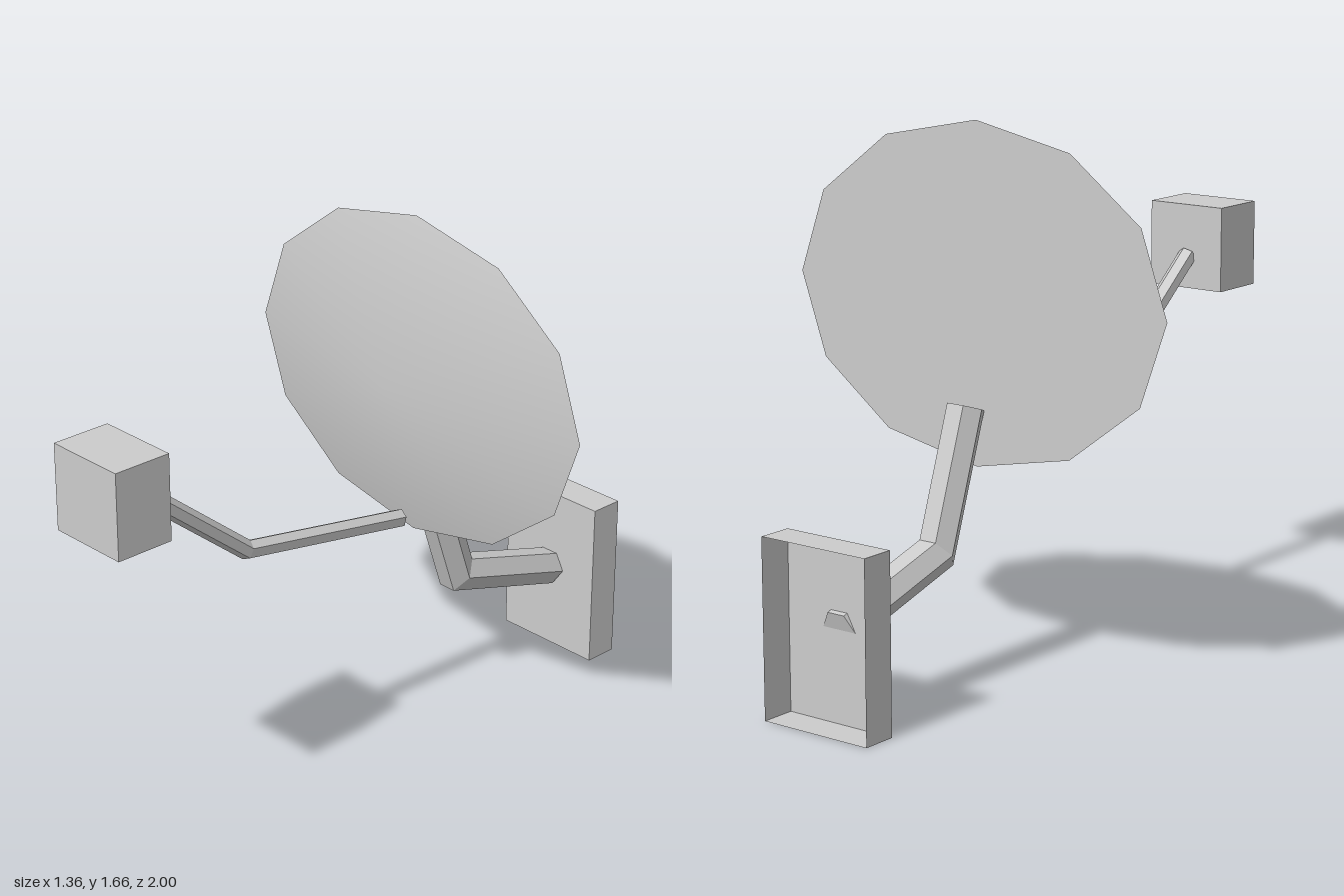
import * as THREE from 'three';

const grey = new THREE.MeshStandardMaterial({ color: 0xcccccc, side: THREE.DoubleSide });
grey.name = 'light grey';
const greyFlat = grey; // a single colour serves every part

// Closed prism swept along a bent path in the YZ plane, mitred at the bends.
// path: [z, y] points running towards +z
function bentBar(path, radius, sides, turn, x = 0) {
  const dirs = path.slice(1).map((p, i) =>
    new THREE.Vector2(p[0] - path[i][0], p[1] - path[i][1]).normalize());
  const rings = path.map(([z, y], i) => {
    const a = dirs[Math.max(i - 1, 0)], b = dirs[Math.min(i, dirs.length - 1)];
    const t = a.clone().add(b).normalize();
    const stretch = 1 / t.dot(a);
    return Array.from({ length: sides }, (_, j) => {
      const ang = turn + (j / sides) * Math.PI * 2;
      const u = Math.cos(ang) * radius, v = Math.sin(ang) * radius * stretch;
      return [x + u, y + v * t.x, z - v * t.y];
    });
  });
  const pos = [];
  const tri = (...pts) => pts.forEach((p) => pos.push(...p));
  const first = rings[0], last = rings[rings.length - 1];
  for (let j = 0; j < sides; j++) {
    const k = (j + 1) % sides;
    for (let i = 0; i < rings.length - 1; i++) {
      const [a, b, c, d] = [rings[i][j], rings[i][k], rings[i + 1][k], rings[i + 1][j]];
      tri(a, b, c);
      tri(a, c, d);
    }
    // end caps
    if (j > 0 && j < sides - 1) {
      tri(first[0], first[k], first[j]);
      tri(last[0], last[j], last[k]);
    }
  }
  const geo = new THREE.BufferGeometry();
  geo.setAttribute('position', new THREE.Float32BufferAttribute(pos, 3));
  geo.computeVertexNormals(); // unshared corners give flat faces
  return geo;
}

// Fan of triangles from a centre point to an elliptical rim, smooth shaded
function fan(rx, ry, sides, depth, facing) {
  const pos = [0, 0, depth], index = [];
  for (let j = 0; j < sides; j++) {
    const a = (j / sides) * Math.PI * 2;
    pos.push(rx * Math.cos(a), ry * Math.sin(a), 0);
    const p = 1 + j, q = 1 + ((j + 1) % sides);
    index.push(0, ...(facing > 0 ? [p, q] : [q, p]));
  }
  const geo = new THREE.BufferGeometry();
  geo.setAttribute('position', new THREE.Float32BufferAttribute(pos, 3));
  geo.setIndex(index);
  geo.computeVertexNormals();
  return geo;
}

export function createModel() {
  const model = new THREE.Group();
  model.name = 'satelliteDish';
  const add = (name, geo, x = 0, y = 0, z = 0, parent = model) => {
    const mesh = new THREE.Mesh(geo, greyFlat);
    mesh.name = name;
    mesh.position.set(x, y, z);
    parent.add(mesh);
    return mesh;
  };

  // Wall plate: a shallow box left open at the back
  const plate = new THREE.BoxGeometry(0.38, 0.545, 0.11);
  plate.setIndex(Array.from(plate.index.array).slice(0, 30));
  plate.clearGroups();
  add('wallPlate', plate, 0, 0.2725, -0.945);

  // Bent bracket from the wall plate up to the dish
  add('wallBracket', bentBar([[-0.89, 0.28], [-0.457, 0.41], [-0.317, 0.822]], 0.06, 6, 0));

  // Dish: shallow cone in front, flat back
  const dish = new THREE.Group();
  dish.name = 'dish';
  dish.position.set(0, 1.146, -0.265);
  model.add(dish);
  add('dishFront', fan(0.68, 0.515, 12, 0.135, 1), 0, 0, 0, dish);
  add('dishBack', fan(0.68, 0.515, 12, 0, -1), 0, 0, 0, dish);

  // Thin bent arm carrying the receiver
  add('receiverArm', bentBar([[-0.21, 0.683], [0.415, 0.792], [0.815, 1.118]],
    0.03, 6, Math.PI / 6 - 0.1, -0.004));

  // Receiver box
  add('receiver', new THREE.BoxGeometry(0.27, 0.27, 0.19), 0, 1.145, 0.905);

  return model;
}
